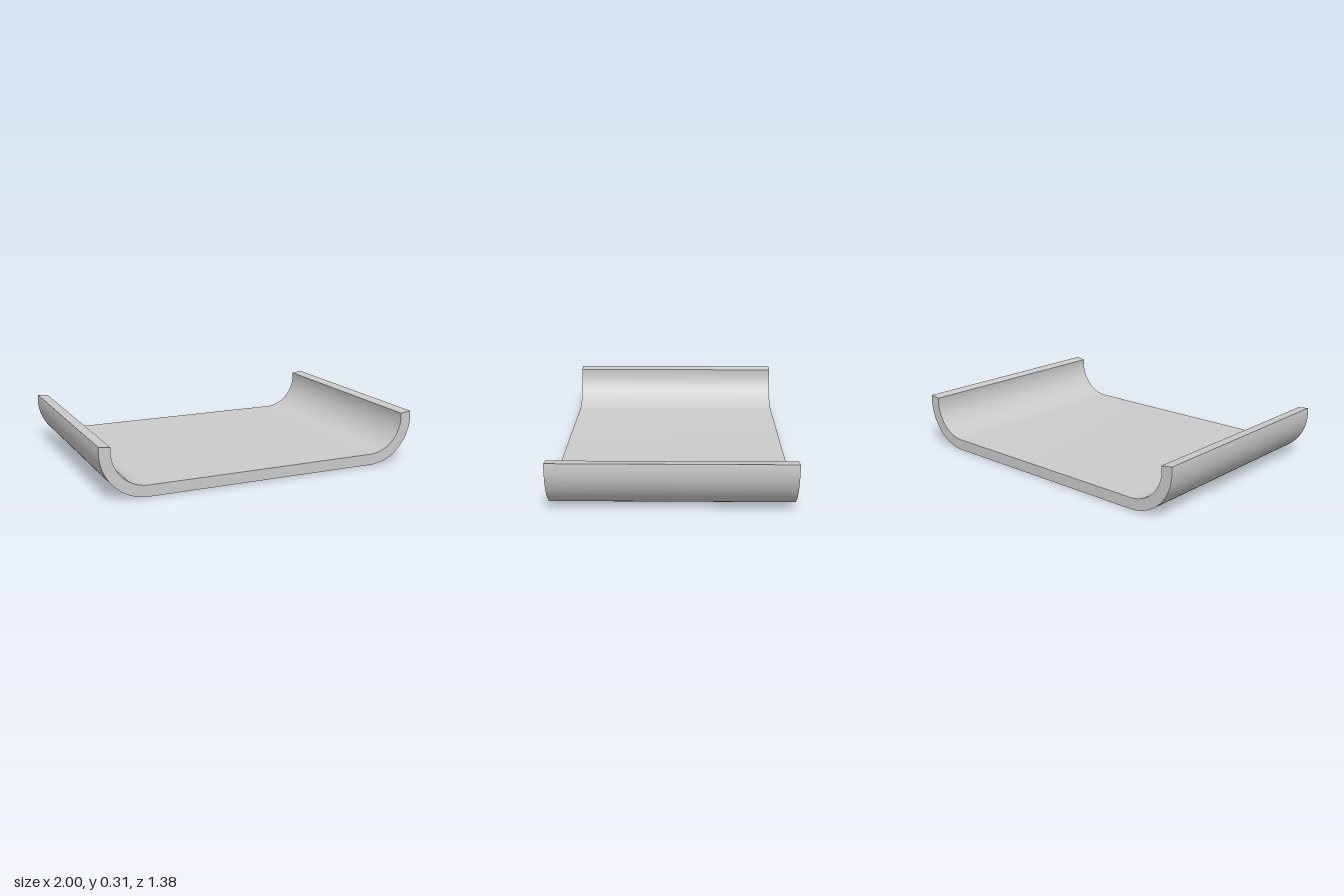
import * as THREE from 'three';
import { toCreasedNormals } from 'three/addons/utils/BufferGeometryUtils.js';

export function createModel() {
  const outer = 0.28, thickness = 0.068, depth = 1.38;
  const inner = outer - thickness;
  const cx = 1 - outer, cy = outer;
  const down = -Math.PI / 2;
  const tip = THREE.MathUtils.degToRad(7); // rims curl slightly past vertical

  // Cross-section: flat floor with a curled rim on each side
  const section = new THREE.Shape();
  section.moveTo(cx, 0);
  section.absarc(cx, cy, outer, down, tip, false);
  section.absarc(cx, cy, inner, tip, down, true);
  section.absarc(-cx, cy, inner, down, -Math.PI - tip, true);
  section.absarc(-cx, cy, outer, Math.PI - tip, Math.PI * 1.5, false);
  section.closePath();

  const extruded = new THREE.ExtrudeGeometry(section, {
    depth, bevelEnabled: false, curveSegments: 32,
  });
  extruded.translate(0, 0, -depth / 2);

  const tray = new THREE.Mesh(
    toCreasedNormals(extruded, 0.5),
    new THREE.MeshStandardMaterial({ color: 0xcccccc }),
  );
  tray.name = 'curvedTray';

  const model = new THREE.Group();
  model.name = 'tray';
  model.add(tray);
  return model;
}
